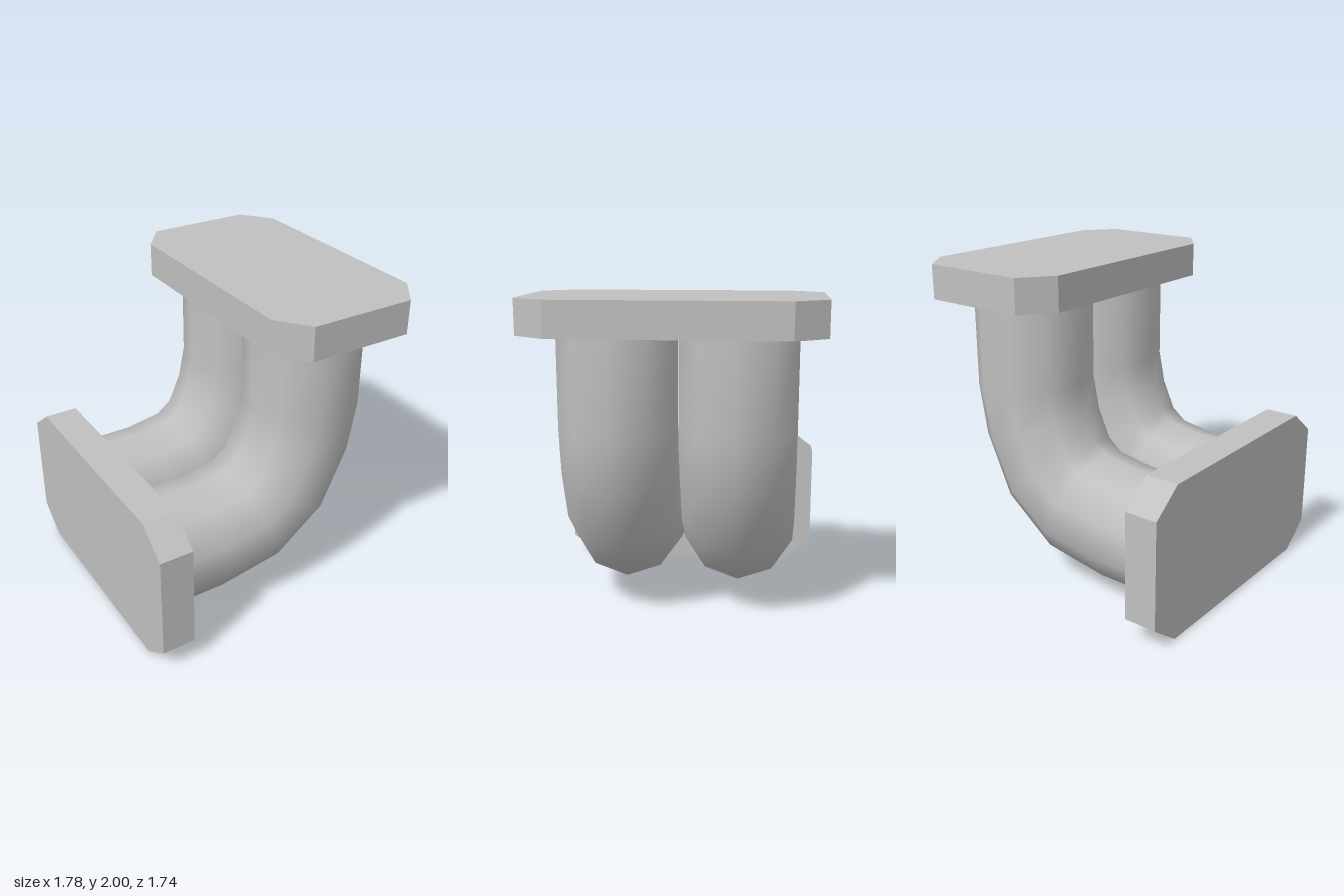
import * as THREE from 'three';

const SIDES = 10, RADIUS = 0.365;

// Inner and outer edge of each ring along the bend: [innerX, innerY, outerX, outerY]
const RINGS = [
  [-0.69, 0.825, -0.69, 0.095],
  [-0.35, 0.825, -0.29, 0.095],
  [-0.14, 0.86, 0.16, 0.17],
  [-0.07, 0.915, 0.52, 0.45],
  [0.0, 1.07, 0.71, 0.86],
  [0.04, 1.26, 0.77, 1.19],
  [0.04, 1.79, 0.77, 1.79],
];

// Ten-sided bent pipe, lofted ring by ring with smooth normals
function pipeGeometry() {
  const positions = [], index = [];
  for (const [ix, iy, ox, oy] of RINGS) {
    for (let s = 0; s < SIDES; s++) {
      const a = (s / SIDES) * Math.PI * 2;
      const t = (1 + Math.cos(a)) / 2; // 0 at the inner edge, 1 at the outer
      positions.push(ix + (ox - ix) * t, iy + (oy - iy) * t, RADIUS * Math.sin(a));
    }
  }
  for (let r = 0; r < RINGS.length - 1; r++) {
    for (let s = 0; s < SIDES; s++) {
      const a = r * SIDES + s, b = r * SIDES + (s + 1) % SIDES;
      const c = a + SIDES, d = b + SIDES;
      index.push(a, c, b, b, c, d);
    }
  }
  const g = new THREE.BufferGeometry();
  g.setAttribute('position', new THREE.Float32BufferAttribute(positions, 3));
  g.setIndex(index);
  g.computeVertexNormals();
  return g;
}

// Rectangular plate with cut corners, centred on its own origin
function flangeGeometry(width, length, depth, cutW, cutL) {
  const w = width / 2, l = length / 2;
  const outline = [
    [w, -l + cutL], [w, l - cutL], [w - cutW, l], [-w + cutW, l],
    [-w, l - cutL], [-w, -l + cutL], [-w + cutW, -l], [w - cutW, -l],
  ].map(([x, y]) => new THREE.Vector2(x, y));
  const g = new THREE.ExtrudeGeometry(new THREE.Shape(outline), { depth, bevelEnabled: false });
  return g.translate(0, 0, -depth / 2);
}

export function createModel() {
  const model = new THREE.Group();
  model.name = 'twinPipeElbow';
  const metal = new THREE.MeshStandardMaterial({ color: 0xc0c0c0, side: THREE.DoubleSide });
  metal.name = 'lightGrey';

  const add = (name, geometry, x, y, z) => {
    const mesh = new THREE.Mesh(geometry, metal);
    mesh.name = name;
    mesh.position.set(x, y, z);
    model.add(mesh);
  };

  // Pair of elbow pipes
  const pipe = pipeGeometry();
  add('frontPipe', pipe, 0, 0, 0.345);
  add('backPipe', pipe, 0, 0, -0.375);

  // End flanges
  add('topFlange', flangeGeometry(0.96, 1.744, 0.21, 0.148, 0.195).rotateX(-Math.PI / 2), 0.41, 1.895, 0);
  add('sideFlange', flangeGeometry(0.97, 1.744, 0.21, 0.15, 0.195)
    .rotateX(-Math.PI / 2).rotateZ(Math.PI / 2), -0.79, 0.485, 0);

  return model;
}
